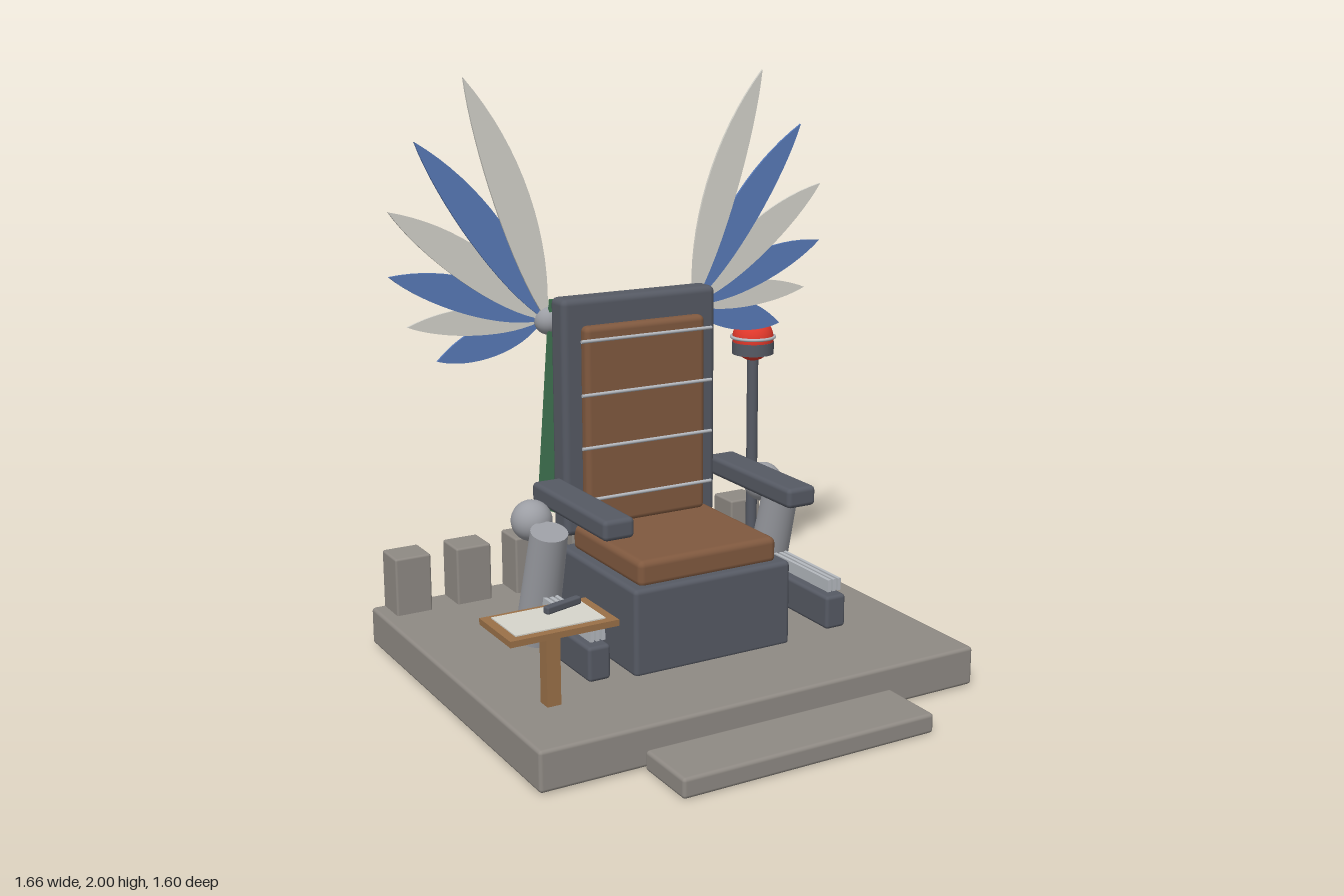
import * as THREE from 'three';
import { RoundedBoxGeometry } from 'three/addons/geometries/RoundedBoxGeometry.js';

const mat = (color, side = THREE.FrontSide) => new THREE.MeshStandardMaterial({ color, side });
const STONE = mat(0x8f8a84), DARK = mat(0x565a64), LEATHER = mat(0x80593f), WOOD = mat(0x9a7048);
const METAL = mat(0x9c9ea4), STEEL = mat(0xb4b8be), PAPER = mat(0xd6d5cc), RED = mat(0xe63a2c);
const BLUE = mat(0x587ab8, THREE.DoubleSide), WHITE = mat(0xd4d3cb, THREE.DoubleSide);
const GREEN = mat(0x3f7350, THREE.DoubleSide);

export function createModel() {
  const root = new THREE.Group();

  const add = (name, geometry, material, x = 0, y = 0, z = 0, parent = root) => {
    const mesh = new THREE.Mesh(geometry, material);
    mesh.name = name;
    mesh.position.set(x, y, z);
    parent.add(mesh);
    return mesh;
  };
  // Rounded box given by its limits on each axis
  const box = (name, material, [x0, x1], [y0, y1], [z0, z1], r = 0.012, parent = root) => {
    const w = x1 - x0, h = y1 - y0, d = z1 - z0;
    const g = r > 0 ? new RoundedBoxGeometry(w, h, d, 2, r) : new THREE.BoxGeometry(w, h, d);
    return add(name, g, material, (x0 + x1) / 2, (y0 + y1) / 2, (z0 + z1) / 2, parent);
  };

  // Stone dais, step and battlements along the rear edge
  box('platform', STONE, [-0.8, 0.8], [0.005, 0.138], [-0.8, 0.568]);
  box('frontStep', STONE, [-0.455, 0.455], [0, 0.066], [0.572, 0.8]);
  for (let i = -3; i <= 3; i++) {
    const x = i * 0.229;
    box('battlement', STONE, [x - 0.066, x + 0.066], [0.13, 0.345], [-0.797, -0.668], 0.008);
  }

  // Seat
  box('seatBase', DARK, [-0.295, 0.295], [0.13, 0.425], [-0.315, 0.225], 0.016);
  box('seatCushion', LEATHER, [-0.26, 0.26], [0.415, 0.505], [-0.28, 0.193], 0.022);
  box('backrest', DARK, [-0.295, 0.295], [0.465, 1.28], [-0.355, -0.258], 0.022);
  box('backCushion', LEATHER, [-0.23, 0.23], [0.5, 1.19], [-0.27, -0.218], 0.02);
  for (const y of [0.6, 0.78, 0.962, 1.145]) {
    add('backBar', new THREE.CylinderGeometry(0.006, 0.006, 0.5, 10), STEEL, 0, y, -0.213)
      .rotation.z = Math.PI / 2;
  }

  // Cape hanging behind the backrest, with a wavy hem
  const cape = new THREE.Shape();
  cape.moveTo(0.285, 1.265);
  cape.lineTo(-0.285, 1.265);
  for (let i = 0; i <= 40; i++) {
    const t = i / 40;
    cape.lineTo(-0.342 + 0.684 * t, 0.525 + 0.018 * Math.cos(t * Math.PI * 6));
  }
  add('cape', new THREE.ExtrudeGeometry(cape, { depth: 0.012, bevelEnabled: false }), GREEN, 0, 0, -0.381);

  // Curved feather blade from a root point to its tip
  const feather = (tip, upper, lower) => {
    const a = new THREE.Vector2(0.285, 1.19), b = new THREE.Vector2(...tip);
    const dir = b.clone().sub(a);
    const side = new THREE.Vector2(-dir.y, dir.x).normalize();
    const at = (t, s) => a.clone().addScaledVector(dir, t).addScaledVector(side, s);
    const shape = new THREE.Shape();
    shape.moveTo(a.x, a.y);
    const [u1, u2] = [at(0.3, upper), at(0.68, upper)];
    const [l2, l1] = [at(0.75, -lower * 0.8), at(0.25, -lower)];
    shape.bezierCurveTo(u1.x, u1.y, u2.x, u2.y, b.x, b.y);
    shape.bezierCurveTo(l2.x, l2.y, l1.x, l1.y, a.x, a.y);
    return new THREE.ExtrudeGeometry(shape, { depth: 0.008, bevelEnabled: false, curveSegments: 16 });
  };
  const feathers = [
    [[0.565, 2.0], 0.115, 0.06], [[0.735, 1.805], 0.1, 0.07], [[0.828, 1.588], 0.095, 0.075],
    [[0.832, 1.38], 0.09, 0.075], [[0.773, 1.21], 0.07, 0.06], [[0.67, 1.085], 0.075, 0.085],
  ];

  for (const s of [1, -1]) {
    const label = s > 0 ? 'left' : 'right';

    // Wing: fan of feathers on a ball joint
    const wing = new THREE.Group();
    wing.name = label + 'Wing';
    root.add(wing);
    add('wingJoint', new THREE.SphereGeometry(0.05, 24, 16), METAL, s * 0.275, 1.19, -0.405, wing);
    feathers.forEach(([tip, upper, lower], i) => {
      const g = feather(tip, upper, lower);
      add('feather', g, i % 2 ? BLUE : WHITE, 0, 0, -0.402 - i * 0.0065, wing).scale.x = s;
    });

    // Armrest
    const [x0, x1] = s > 0 ? [0.288, 0.398] : [-0.398, -0.288];
    box(label + 'Armrest', DARK, [x0, x1], [0.6, 0.668], [-0.305, 0.217], 0.016);

    // Mechanical arm: shoulder ball, leaning cylinder, forearm and blades
    const arm = new THREE.Group();
    arm.name = label + 'MechanicalArm';
    root.add(arm);
    const cx = s * 0.448;
    add('shoulder', new THREE.SphereGeometry(0.069, 28, 18), METAL, cx + s * 0.005, 0.572, -0.192, arm);
    add('upperArm', new THREE.CylinderGeometry(0.062, 0.072, 0.41, 28), METAL, cx, 0.368, -0.128, arm)
      .rotation.x = 0.285;
    box('forearm', DARK, [cx - 0.039, cx + 0.039], [0.175, 0.29], [-0.085, 0.275], 0.012, arm);
    for (const o of [-0.02, 0, 0.02]) {
      box('blade', STEEL, [cx + o - 0.006, cx + o + 0.006], [0.303, 0.345], [-0.09, 0.262], 0, arm);
    }
  }

  // Side table with paper and pen
  box('tablePost', WOOD, [-0.642, -0.595], [0.13, 0.395], [0.25, 0.298], 0);
  box('tableTop', WOOD, [-0.8, -0.438], [0.393, 0.413], [0.16, 0.385], 0);
  box('paper', PAPER, [-0.77, -0.47], [0.41, 0.417], [0.182, 0.357], 0);
  box('pen', DARK, [-0.62, -0.48], [0.417, 0.442], [0.212, 0.237], 0.006).rotation.y = 0.28;

  // Beacon on a pole
  const lx = 0.635, lz = -0.548;
  add('beaconPole', new THREE.CylinderGeometry(0.021, 0.021, 0.81, 20), DARK, lx, 0.535, lz);
  add('beaconCollar', new THREE.CylinderGeometry(0.078, 0.078, 0.045, 32), DARK, lx, 0.975, lz);
  add('beaconLight', new THREE.SphereGeometry(0.077, 32, 20), RED, lx, 1.01, lz).scale.y = 1.1;
  add('beaconRing', new THREE.TorusGeometry(0.08, 0.006, 10, 40), STEEL, lx, 1.016, lz)
    .rotation.x = Math.PI / 2;

  return root;
}
